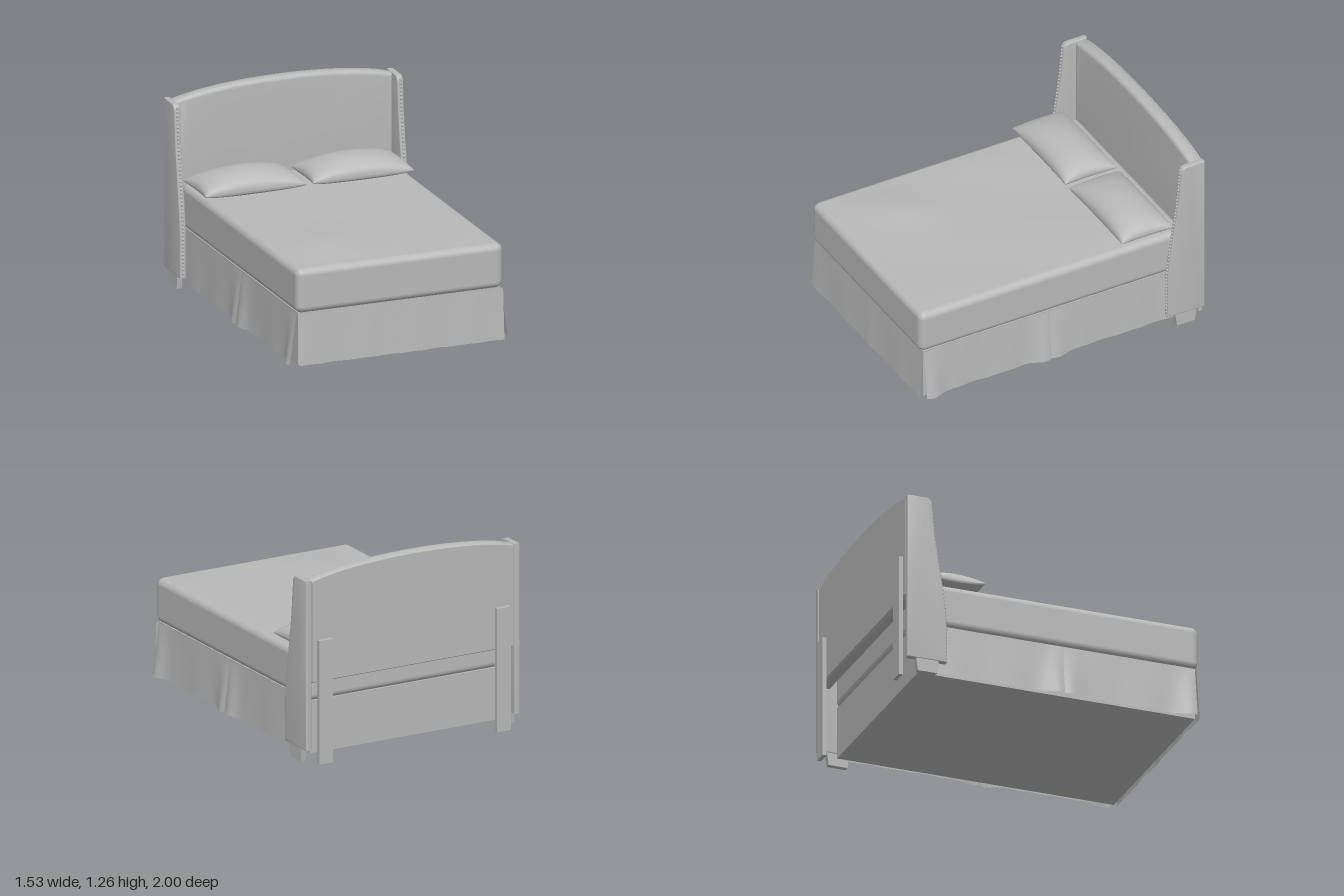
import * as THREE from 'three';
import { toCreasedNormals } from 'three/addons/utils/BufferGeometryUtils.js';
import { RoundedBoxGeometry } from 'three/addons/geometries/RoundedBoxGeometry.js';

export function createModel() {
  const bed = new THREE.Group();
  bed.name = 'bed';
  const fabric = new THREE.MeshStandardMaterial({ color: 0xb8b8b8, side: THREE.DoubleSide });
  fabric.name = 'grey fabric';

  const add = (name, geometry, x = 0, y = 0, z = 0, parent = bed) => {
    const mesh = new THREE.Mesh(geometry, fabric);
    mesh.name = name;
    mesh.position.set(x, y, z);
    parent.add(mesh);
    return mesh;
  };
  const box = (name, x0, x1, y0, y1, z0, z1) =>
    add(name, new THREE.BoxGeometry(x1 - x0, y1 - y0, z1 - z0), (x0 + x1) / 2, (y0 + y1) / 2, (z0 + z1) / 2);
  // Moves every vertex of a geometry by a rule
  const reshape = (geometry, rule) => {
    const p = geometry.attributes.position;
    const v = new THREE.Vector3();
    for (let i = 0; i < p.count; i++) {
      rule(v.fromBufferAttribute(p, i));
      p.setXYZ(i, v.x, v.y, v.z);
    }
    geometry.computeVertexNormals();
    return geometry;
  };
  const bump = (d, width) => Math.exp(-((d / width) ** 2));

  // Mattress with a softly creased cover on top
  add('mattress', new RoundedBoxGeometry(1.38, 0.288, 1.87, 5, 0.045), 0, 0.514, 0.055);
  const cover = new THREE.PlaneGeometry(1.3, 1.79, 40, 50).rotateX(-Math.PI / 2);
  reshape(cover, (v) => {
    const edge = Math.min(1, 6 * (1 - Math.abs(v.x) / 0.65)) * Math.min(1, 6 * (1 - Math.abs(v.z) / 0.895));
    const mound = 0.02 * bump(v.x + 0.36 + 0.3 * (v.z - 0.5), 0.2) * bump(v.z - 0.5, 0.25);
    v.y = edge * (0.003 + mound + 0.002 * Math.sin(7 * v.x + 4 * v.z));
  });
  add('mattressCover', cover, 0, 0.658, 0.055);

  // Box base behind the skirt
  box('base', -0.675, 0.675, 0.035, 0.375, -0.87, 0.965);

  // Skirt panels hang from the base and flare at the pleats
  const skirtPanel = (name, width, flareLeft, flareRight) => {
    const geometry = new THREE.PlaneGeometry(width, 0.335, 36, 10);
    reshape(geometry, (v) => {
      const drop = 0.5 - v.y / 0.335;
      const left = bump(v.x + width / 2 - 0.04, 0.07);
      const right = bump(width / 2 - 0.04 - v.x, 0.07);
      const hem = 0.003 * Math.sin(v.x * 17);
      v.z = drop * (0.018 + flareLeft * left + flareRight * right + hem);
      if (drop > 0.95) v.y += Math.abs(hem) * 1.5;
    });
    return add(name, geometry);
  };
  for (const [name, x0, x1] of [['frontSkirtRight', -0.678, -0.016], ['frontSkirtLeft', -0.012, 0.69]]) {
    skirtPanel(name, x1 - x0, 0.004, 0.004).position.set((x0 + x1) / 2, 0.203, 0.974);
  }
  for (const side of [-1, 1]) {
    for (const [name, z0, z1, back, front] of [
      ['sideSkirtFront', 0.087, 0.962, 0.034, 0.038],
      ['sideSkirtBack', -0.83, 0.083, 0, 0.034]]) {
      const panel = skirtPanel(name, z1 - z0, side > 0 ? front : back, side > 0 ? back : front);
      panel.position.set(side * 0.682, 0.203, (z0 + z1) / 2);
      panel.rotation.y = side * Math.PI / 2;
    }
  }

  // Pillows: two puffed sheets meeting at a seam with pointed corners
  const pillowSheet = (height, power) => {
    const geometry = new THREE.PlaneGeometry(2, 2, 36, 28).rotateX(-Math.PI / 2);
    if (height < 0) geometry.index.array.reverse();
    return reshape(geometry, (v) => {
      // crowd the rows towards the seam for a round edge
      const u = Math.sin(v.x * Math.PI / 2);
      const w = Math.sin(v.z * Math.PI / 2);
      v.y = height * Math.pow(Math.max(0, (1 - u * u) * (1 - w * w)), power);
      v.x = 0.336 * u * (1 - 0.04 * (1 - w * w));
      v.z = 0.18 * w * (1 - 0.05 * (1 - u * u));
    });
  };
  for (const side of [-1, 1]) {
    const pillow = new THREE.Group();
    pillow.name = side < 0 ? 'rightPillow' : 'leftPillow';
    pillow.position.set(side < 0 ? -0.372 : 0.346, 0.7, -0.617);
    add('pillowTop', pillowSheet(0.108, 0.45), 0, 0, 0, pillow);
    add('pillowBottom', pillowSheet(-0.044, 0.3), 0, 0, 0, pillow);
    bed.add(pillow);
  }

  // Headboard: arched, padded panel with a flat back
  const archedPanel = (inset) => {
    const s = new THREE.Shape();
    const x = 0.73 - inset;
    s.moveTo(-x, 0.52 + inset);
    s.lineTo(x, 0.52 + inset);
    s.lineTo(x, 1.19 - inset);
    s.bezierCurveTo(0.4, 1.283 - inset, -0.4, 1.283 - inset, -x, 1.19 - inset);
    return s;
  };
  const padded = new THREE.ExtrudeGeometry(archedPanel(0.028), {
    depth: 0.03, bevelEnabled: true, bevelSize: 0.028, bevelThickness: 0.028, bevelSegments: 5, curveSegments: 30 });
  add('headboard', toCreasedNormals(padded, 0.6), 0, 0, -0.945);
  const backPanel = new THREE.ExtrudeGeometry(archedPanel(0.012), { depth: 0.03, bevelEnabled: false, curveSegments: 30 });
  add('headboardBack', toCreasedNormals(backPanel, 0.6), 0, 0, -0.974);

  // Wings: front edge given as z, y from bottom to top
  const edge = new THREE.SplineCurve([
    [-0.712, 0.09], [-0.714, 0.25], [-0.716, 0.4], [-0.735, 0.56], [-0.762, 0.74],
    [-0.788, 0.92], [-0.803, 1.08], [-0.81, 1.155]].map(([z, y]) => new THREE.Vector2(z, y)));
  const wingShape = new THREE.Shape();
  wingShape.moveTo(-0.968, 0.098);
  for (const p of edge.getPoints(28)) wingShape.lineTo(p.x - 0.008, Math.max(p.y, 0.098));
  wingShape.quadraticCurveTo(-0.822, 1.184, -0.85, 1.184);
  wingShape.lineTo(-0.968, 1.184);
  const wing = new THREE.ExtrudeGeometry(wingShape, {
    depth: 0.024, bevelEnabled: true, bevelSize: 0.007, bevelThickness: 0.008, bevelSegments: 3, curveSegments: 6 });
  wing.rotateY(-Math.PI / 2).translate(0.012, 0, 0);
  const wingGeometry = toCreasedNormals(wing, 0.7);
  const stud = new THREE.SphereGeometry(0.008, 8, 6);
  // Foot: block tapering downwards
  const foot = reshape(new THREE.BoxGeometry(0.034, 0.09, 0.15).toNonIndexed(), (v) => {
    if (v.y < 0) v.z *= 0.84;
  });

  for (const side of [-1, 1]) {
    const label = side < 0 ? 'right' : 'left';
    add(label + 'Wing', wingGeometry, side * 0.744, 0, 0);
    add(label + 'WingFoot', foot, side * 0.744, 0.053, -0.842);
    const studs = new THREE.Group();
    studs.name = label + 'WingStuds';
    bed.add(studs);
    for (const p of edge.getSpacedPoints(44)) add('stud', stud, side * 0.745, p.y + 0.012, p.x, studs);
    // Mounting strut behind the headboard
    const x = side * 0.635;
    box(label + 'Strut', x - 0.049, x + 0.049, 0, 0.8, -1, -0.974);
  }
  return bed;
}
